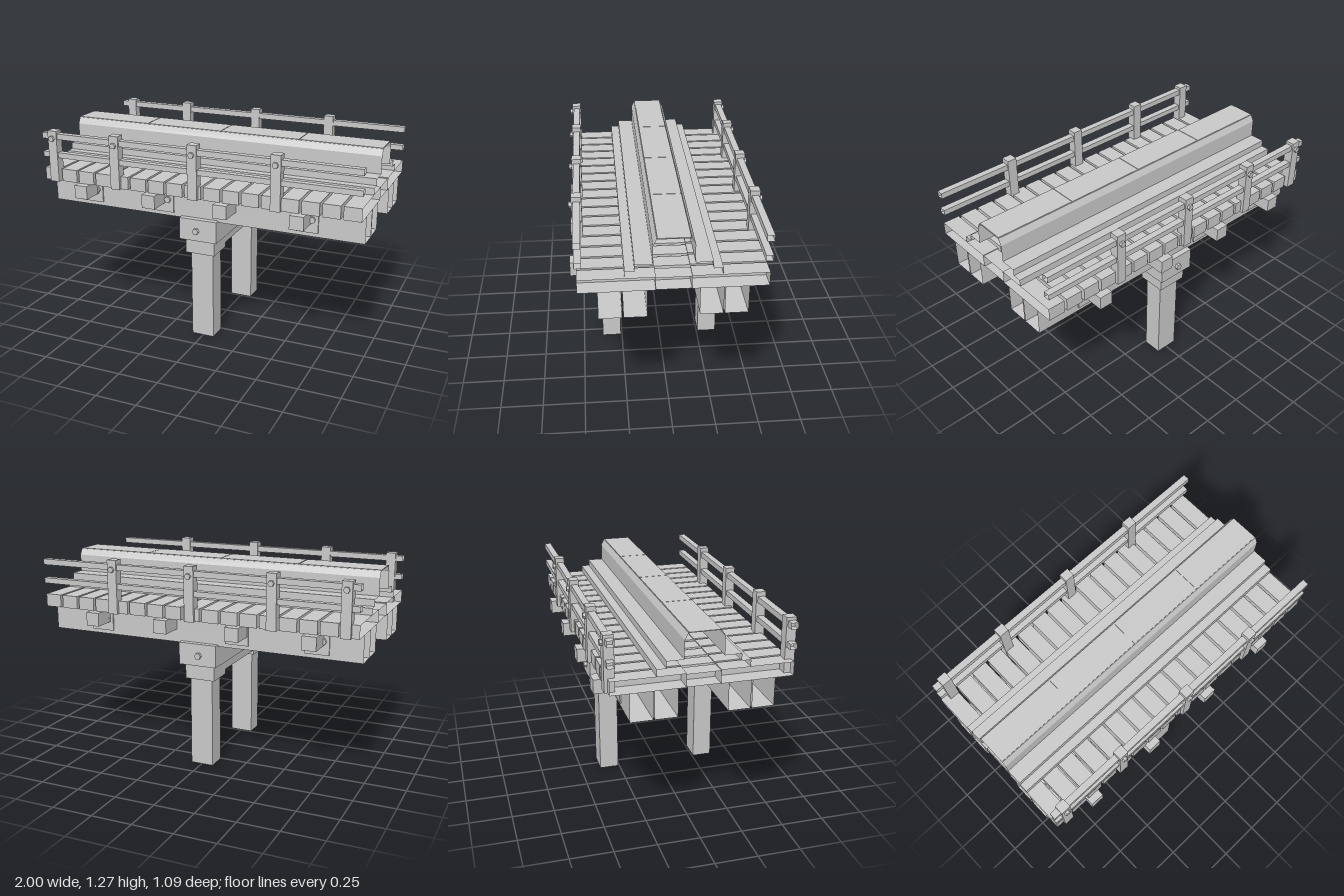
import * as THREE from 'three';

const grey = new THREE.MeshStandardMaterial({ color: 0xc8c8c8, side: THREE.DoubleSide });
grey.name = 'plainGrey';

export function createModel() {
  const model = new THREE.Group();
  model.name = 'guidewayTrestle';

  const add = (name, geometry) => {
    const mesh = new THREE.Mesh(geometry, grey);
    mesh.name = name;
    model.add(mesh);
    return mesh;
  };

  // Box given by its limits on each axis
  const box = (name, x0, x1, y0, y1, z0, z1) => {
    const mesh = add(name, new THREE.BoxGeometry(x1 - x0, y1 - y0, z1 - z0));
    mesh.position.set((x0 + x1) / 2, (y0 + y1) / 2, (z0 + z1) / 2);
    return mesh;
  };

  // The same box on both long sides of the bridge
  const boxPair = (name, x0, x1, y0, y1, z0, z1) => [
    box(name, x0, x1, y0, y1, z0, z1),
    box(name, x0, x1, y0, y1, -z1, -z0),
  ];

  // Six-sided bolt heads on both long sides
  const boltPair = (name, x, y, z, depth, r = 0.018) => {
    for (const s of [1, -1]) {
      const bolt = add(name, new THREE.CylinderGeometry(r, r, depth, 6).toNonIndexed());
      bolt.geometry.computeVertexNormals();
      bolt.rotation.set(Math.PI / 2, Math.PI / 6, 0);
      bolt.position.set(x, y, s * (z + depth / 2));
    }
  };

  // Open-ended section running the full length, from a [z, y] profile
  const run = (name, profile) => {
    const pos = [];
    for (let i = 0; i + 1 < profile.length; i++) {
      const [z0, y0] = profile[i], [z1, y1] = profile[i + 1];
      pos.push(-1, y0, z0, 1, y0, z0, 1, y1, z1);
      pos.push(-1, y0, z0, 1, y1, z1, -1, y1, z1);
    }
    const g = new THREE.BufferGeometry();
    g.setAttribute('position', new THREE.Float32BufferAttribute(pos, 3));
    g.computeVertexNormals();
    add(name, g);
  };

  // Pier: two legs, bearing blocks and the cap beam
  boxPair('pierLeg', -0.073, 0.07, 0, 0.558, 0.258, 0.376);
  boxPair('bearingBlock', -0.097, 0.09, 0.558, 0.652, 0.23, 0.403);
  box('pierTie', -0.097, 0.09, 0.588, 0.652, -0.23, 0.23);
  box('capBeam', -0.122, 0.116, 0.653, 0.788, -0.435, 0.435);
  boltPair('capBolt', -0.012, 0.717, 0.435, 0.018, 0.02);

  // Two girders, each a pair of channels open on top
  for (const c of [0.27, -0.27])
    for (const [z0, z1] of [[c - 0.13, c - 0.004], [c + 0.004, c + 0.13]])
      run('girderChannel', [[z0, 0.94], [z0, 0.778], [z1, 0.778], [z1, 0.94]]);

  // Cross beams passing through the girders
  for (const x of [-0.73, -0.27, 0.187, 0.645])
    box('crossBeam', x - 0.042, x + 0.042, 0.858, 0.94, -0.545, 0.545);

  // Bolted side plates at the cross beams
  for (const [x0, x1] of [[-0.805, -0.66], [-0.317, -0.172], [0.585, 0.73]]) {
    boxPair('sidePlate', x0, x1, 0.802, 0.94, 0.4, 0.408);
    boltPair('plateBolt', x0 + 0.035, 0.883, 0.408, 0.016, 0.02);
    boltPair('plateBolt', x1 - 0.035, 0.883, 0.408, 0.016, 0.02);
  }

  // Deck planks with gaps; the first and last are open at the bridge ends
  const count = 17, pitch = 2 / (count - 0.13);
  for (let i = 0; i < count; i++) {
    const x = -1 + i * pitch, end = x + pitch * 0.87;
    const planks = [
      ...boxPair('deckPlank', x, end, 0.942, 1.02, 0.095, 0.505),
      box('middlePlank', x + 0.004, end - 0.004, 0.942, 1.014, -0.095, 0.095),
    ];
    for (const { geometry } of planks) {
      const index = Array.from(geometry.index.array);
      if (i === 0) index.splice(6, 6);
      if (i === count - 1) index.splice(0, 6);
      geometry.clearGroups();
      geometry.setIndex(index);
    }
  }

  // Stepped guideway along the middle
  const half = [
    [0.257, 1.02], [0.257, 1.06], [0.205, 1.06], [0.205, 1.1],
    [0.11, 1.1], [0.11, 1.205], [0.09, 1.243],
  ];
  run('guideway', [...half, ...half.map(([z, y]) => [-z, y]).reverse()]);
  for (let i = 0; i < 4; i++)
    box('guidewayTopPanel', -1 + i * 0.5, -0.504 + i * 0.5, 1.243, 1.247, -0.087, 0.087);

  // Railings: posts, bolts and two open-ended rails on each side
  for (const [x, top] of [[-0.925, 1.257], [-0.5, 1.267], [0.006, 1.267], [0.512, 1.267]]) {
    boxPair('railPost', x - 0.03, x + 0.03, 0.94, top, 0.467, 0.524);
    boltPair('postBolt', x, 1.21, 0.524, 0.015);
  }
  for (const c of [0.495, -0.495])
    for (const [y0, y1] of [[1.205, 1.24], [1.09, 1.123]])
      run('rail', [[c + 0.02, y0], [c + 0.02, y1], [c - 0.02, y1], [c - 0.02, y0], [c + 0.02, y0]]);

  return model;
}
